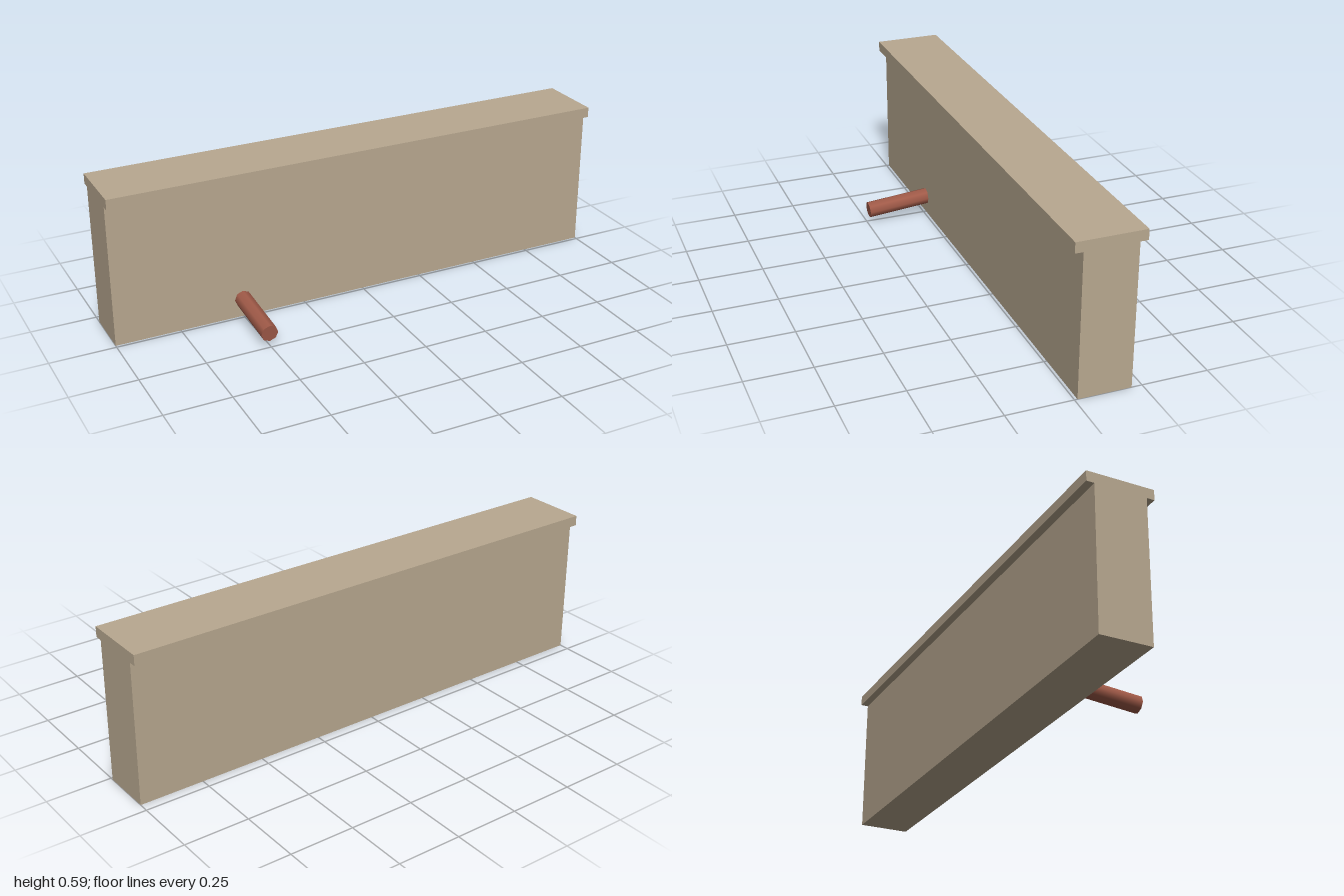
import * as THREE from 'three';

export function createModel() {
  const model = new THREE.Group();
  const stone = new THREE.MeshStandardMaterial({ color: 0xb8a890 });
  stone.name = 'sandstone';
  const clay = new THREE.MeshStandardMaterial({ color: 0xa05a48 });
  clay.name = 'terracotta';

  // Slab between two heights and two depths, running the full length
  function slab(name, y0, y1, z0, z1) {
    const mesh = new THREE.Mesh(new THREE.BoxGeometry(2, y1 - y0, z1 - z0), stone);
    mesh.position.set(0, (y0 + y1) / 2, (z0 + z1) / 2);
    mesh.name = name;
    model.add(mesh);
  }

  // Wall and its overhanging coping
  slab('wall', 0, 0.551, -0.211, -0.011);
  slab('coping', 0.551, 0.591, -0.241, 0.019);

  // Drain pipe, sloping down from the wall to its open end
  const slope = THREE.MathUtils.degToRad(5);
  const length = 0.3;
  const pipe = new THREE.Mesh(new THREE.CylinderGeometry(0.033, 0.033, length, 8), clay);
  pipe.name = 'drainPipe';
  pipe.rotation.x = slope - Math.PI / 2;
  pipe.position.set(
    -0.5,
    0.051 + Math.sin(slope) * length / 2,
    0.24 - Math.cos(slope) * length / 2
  );
  model.add(pipe);

  return model;
}
